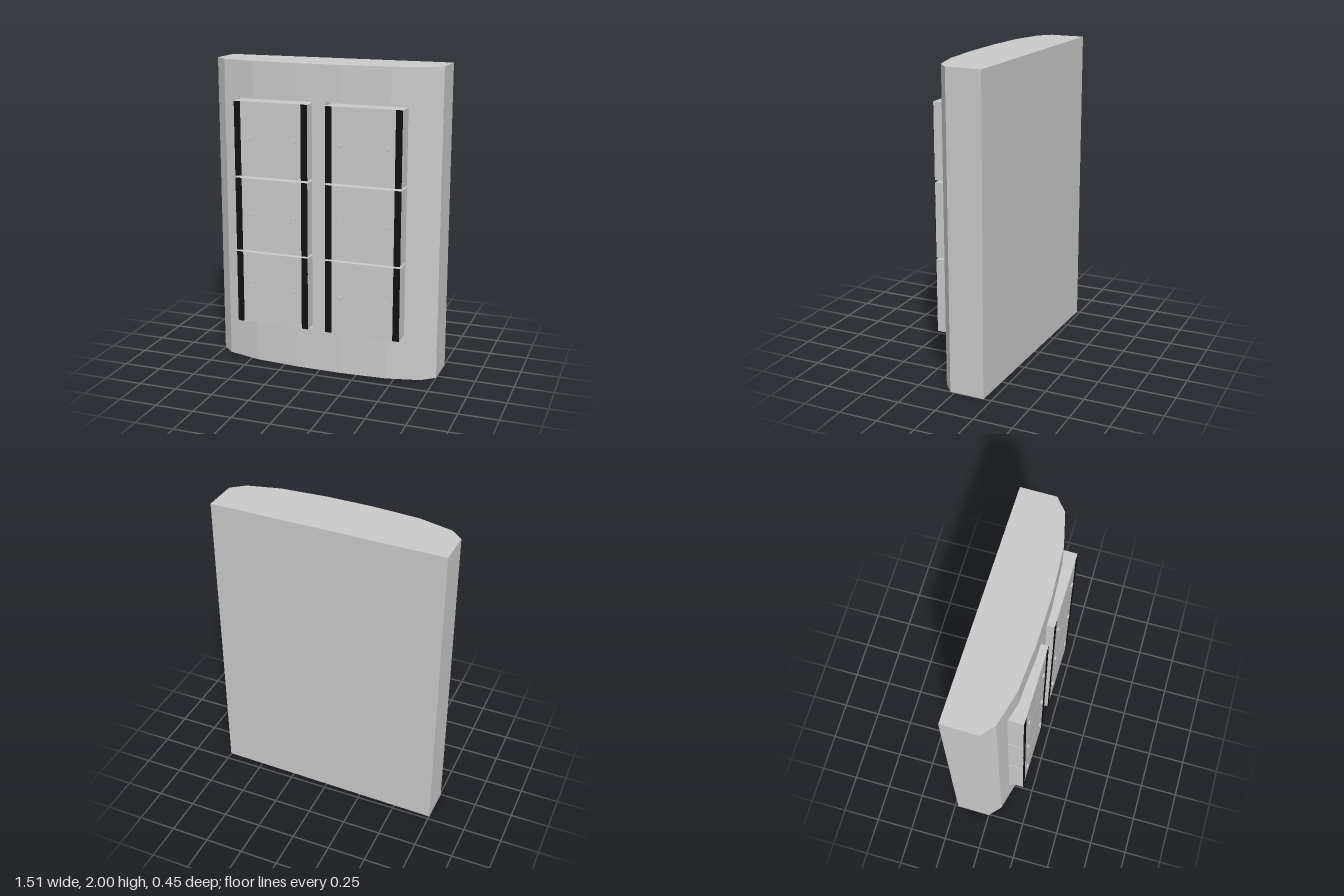
import * as THREE from 'three';

const grey = new THREE.MeshStandardMaterial({ color: 0xcccccc, flatShading: true });
const black = new THREE.MeshStandardMaterial({ color: 0x111111, flatShading: true });

const FLOOR = 0.075;            // z of the recess floors
const ROWS = [0, 0.285, 1.77, 2]; // body heights; the recesses fill the middle row
const RECESSES = [[-0.57, -0.05], [0.04, 0.557]];

// Curved front of the body, left to right, as (x, z)
const FRONT = [[-0.755, 0], [-0.677, 0.072], [-0.455, 0.132], [-0.16, 0.157], [0.14, 0.163],
  [0.452, 0.147], [0.665, 0.098], [0.75, 0.028]];
const BACK = [[0.753, -0.198], [-0.752, -0.228]];

function frontZ(x) {
  const i = FRONT.findIndex((p) => p[0] >= x);
  const [a, b] = [FRONT[i - 1], FRONT[i]];
  return a[1] + (b[1] - a[1]) * (x - a[0]) / (b[0] - a[0]);
}

// Cabinet body: faceted outline carried up in rows, with two recesses
function makeBody() {
  const pos = [];
  const quad = (a, b, c, d) => pos.push(...a, ...b, ...c, ...a, ...c, ...d);
  const at = (p, y) => [p[0], y, p[1]];
  const wall = (p, q, y0, y1) => quad(at(p, y0), at(q, y0), at(q, y1), at(p, y1));

  const cuts = RECESSES.flat().map((x) => [x, frontZ(x)]);
  const ring = [...[...FRONT, ...cuts].sort((a, b) => a[0] - b[0]), ...BACK];
  const [, low, high] = ROWS;

  ring.forEach((p, i) => {
    const q = ring[(i + 1) % ring.length];
    const recessed = i < ring.length - 3 &&
      RECESSES.some(([l, r]) => p[0] >= l && q[0] <= r);
    for (let row = 0; row < 3; row++) {
      if (row !== 1 || !recessed) wall(p, q, ROWS[row], ROWS[row + 1]);
    }
    if (recessed) {
      const pf = [p[0], FLOOR], qf = [q[0], FLOOR];
      wall(pf, qf, low, high);
      quad(at(p, low), at(q, low), at(qf, low), at(pf, low));
      quad(at(pf, high), at(qf, high), at(q, high), at(p, high));
    }
    // Top and bottom caps
    if (i > 0 && i < ring.length - 1) {
      pos.push(...at(ring[0], 2), ...at(p, 2), ...at(q, 2));
      pos.push(...at(ring[0], 0), ...at(q, 0), ...at(p, 0));
    }
  });
  // Recess sides
  for (const [l, r] of RECESSES) {
    wall([l, frontZ(l)], [l, FLOOR], low, high);
    wall([r, FLOOR], [r, frontZ(r)], low, high);
  }

  const geo = new THREE.BufferGeometry();
  geo.setAttribute('position', new THREE.Float32BufferAttribute(pos, 3));
  geo.computeVertexNormals();
  const body = new THREE.Mesh(geo, grey);
  body.name = 'cabinetBody';
  return body;
}

// One door block; its front face lies at local z = 0
function makeDoor() {
  const door = new THREE.Group();
  const w = 0.495, h = 0.479, depth = 0.12;
  const add = (name, geo, mat, x, z) => {
    const mesh = new THREE.Mesh(geo, mat);
    mesh.name = name;
    mesh.position.set(x, 0, z);
    door.add(mesh);
    return mesh;
  };
  add('doorBlock', new THREE.BoxGeometry(w, h, depth), grey, 0, -depth / 2);
  for (const side of [-1, 1]) {
    add('darkStrip', new THREE.BoxGeometry(0.043, h, 0.002), black, side * (w / 2 - 0.0215), 0);
    add('knob', new THREE.CylinderGeometry(0.015, 0.015, 0.009, 12), grey, side * 0.152, 0.0045)
      .rotation.x = Math.PI / 2;
  }
  return door;
}

export function createModel() {
  const model = new THREE.Group();
  model.name = 'cabinet';
  model.add(makeBody());

  // Two columns of three doors, turned slightly with the body
  [[-0.312, 0.2, 'right'], [0.302, 0.212, 'left']].forEach(([x, z, side]) => {
    [0.53, 1.021, 1.514].forEach((y, i) => {
      const door = makeDoor();
      door.name = `${side}Door${i + 1}`;
      door.position.set(x, y, z);
      door.rotation.y = -0.017;
      model.add(door);
    });
  });
  return model;
}
